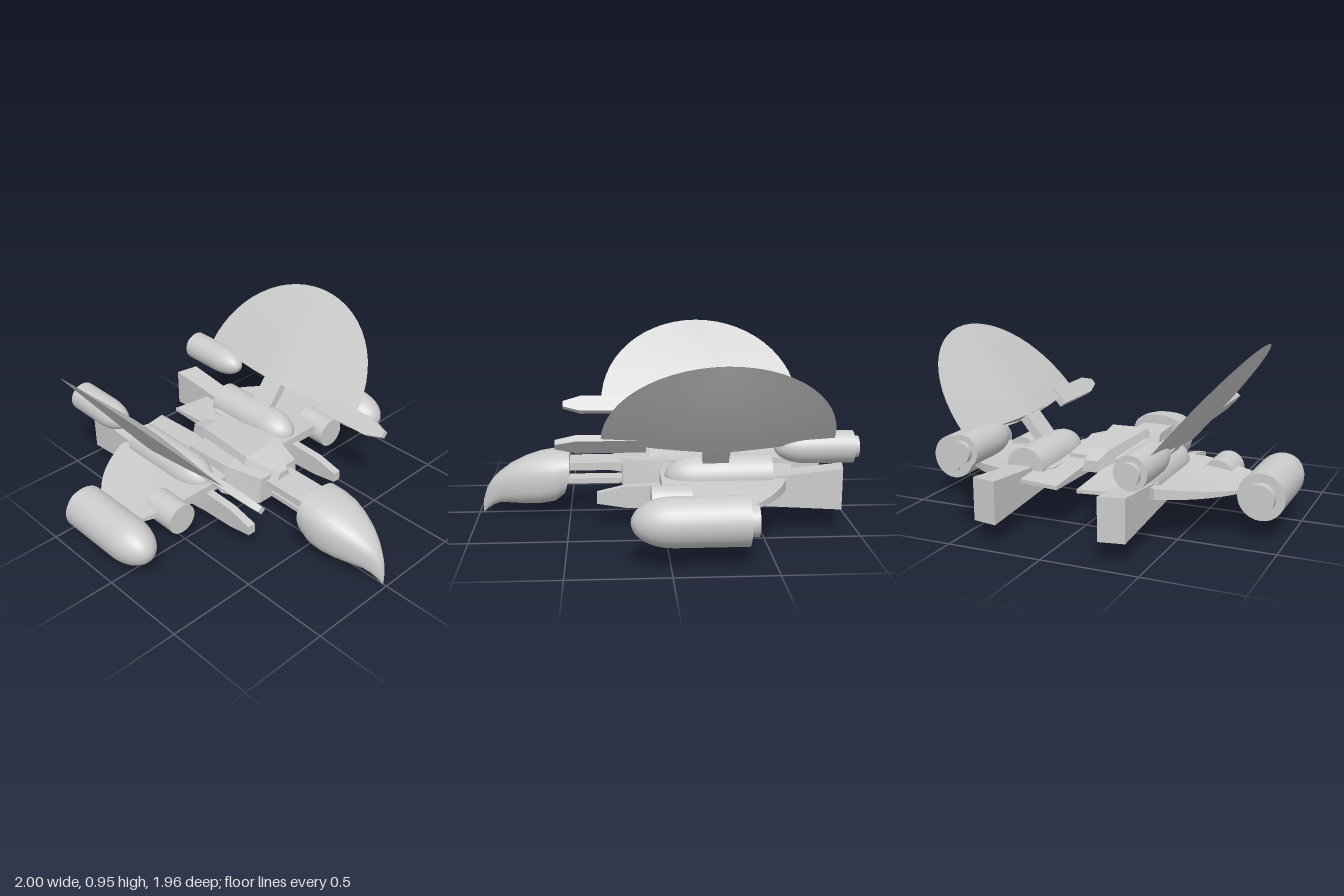
import * as THREE from 'three';
import { toCreasedNormals } from 'three/addons/utils/BufferGeometryUtils.js';

const grey = new THREE.MeshStandardMaterial({ color: 0xcccccc });

function add(parent, name, geometry, crease = 0.6) {
  const mesh = new THREE.Mesh(toCreasedNormals(geometry, crease), grey);
  mesh.name = name;
  parent.add(mesh);
  return mesh;
}

// Capped skin over rings of [x, y, z] points, each anticlockwise seen from the last ring's side.
function loft(rings) {
  const pos = [];
  const tri = (a, b, c) => pos.push(...a, ...b, ...c);
  const n = rings[0].length, first = rings[0], last = rings[rings.length - 1];
  for (let i = 0; i < rings.length - 1; i++) {
    for (let j = 0; j < n; j++) {
      const k = (j + 1) % n, a = rings[i], b = rings[i + 1];
      tri(a[j], a[k], b[k]);
      tri(a[j], b[k], b[j]);
    }
  }
  for (let j = 1; j < n - 1; j++) {
    tri(first[0], first[j + 1], first[j]);
    tri(last[0], last[j], last[j + 1]);
  }
  const g = new THREE.BufferGeometry();
  g.setAttribute('position', new THREE.Float32BufferAttribute(pos, 3));
  return g;
}

// Rectangular ring at depth z
const rect = (z, x0, x1, y0, y1) => [[x0, y0, z], [x1, y0, z], [x1, y1, z], [x0, y1, z]];

// Ring with a narrower top, symmetric about x = 0
const trapezoid = (z, wBottom, wTop, y0, y1) =>
  [[-wBottom, y0, z], [wBottom, y0, z], [wTop, y1, z], [-wTop, y1, z]];

// Round-nosed pod along z, with a stepped exhaust at the back
function pod(parent, name, x, y, z0, z1, r, noseLength, capR = 0, capLength = 0) {
  const pts = [];
  if (capR) pts.push([0, z0 - capLength], [capR, z0 - capLength], [capR, z0]);
  else pts.push([0, z0]);
  pts.push([r, z0]);
  for (let i = 0; i <= 8; i++) {
    const a = (i / 8) * Math.PI / 2;
    pts.push([i === 8 ? 0 : r * Math.cos(a), z1 - noseLength + noseLength * Math.sin(a)]);
  }
  const g = new THREE.LatheGeometry(pts.map(p => new THREE.Vector2(...p)), 28);
  g.rotateX(Math.PI / 2).translate(x, y, 0);
  add(parent, name, g);
}

// Beaked head: rounded sections that curl down to a point
function head() {
  const sections = [ // z, half width, bottom, top
    [0.5, 0.155, 0.12, 0.357], [0.58, 0.164, 0.08, 0.354], [0.66, 0.157, 0.066, 0.342],
    [0.74, 0.135, 0.063, 0.318], [0.82, 0.104, 0.066, 0.28], [0.88, 0.073, 0.066, 0.238],
    [0.92, 0.048, 0.05, 0.202], [0.955, 0.026, 0.026, 0.15], [0.978, 0.004, 0.004, 0.075],
  ];
  return loft(sections.map(([z, w, y0, y1], i) => {
    const ring = [];
    for (let j = 0; j < 28; j++) {
      const a = (j / 28) * Math.PI * 2, c = Math.cos(a), s = Math.sin(a);
      const x = w * Math.sign(c) * Math.abs(c) ** 0.75;
      const y = (y0 + y1) / 2 + (y1 - y0) / 2 * Math.sign(s) * Math.abs(s) ** 0.75;
      ring.push([x, y, i === 0 ? z + Math.max(0, 0.24 - y) * 0.25 : z]);
    }
    return ring;
  }));
}

// Leaning half-ellipse sail: thin rim, ridge down the middle of both faces
function sail() {
  const u = [0.632, 0.775], n = [0.775, -0.632], rings = [];
  for (let i = 0; i <= 14; i++) {
    const v = Math.sin((i / 14) * Math.PI / 2 * 0.995);
    const half = 0.587 * Math.sqrt(1 - v * v);
    const ring = [];
    for (let j = 0; j < 24; j++) {
      const a = (j / 24) * Math.PI * 2;
      const s = Math.asin(Math.sin(a)) * 2 / Math.PI;
      const t = Math.sign(Math.cos(a)) * (1 - Math.abs(s)) * 0.043 * (1 - v ** 2);
      const d = v * 0.56 - 0.05 * (1 - s * s) * (1 - v);
      ring.push([0.487 + u[0] * d + n[0] * t, 0.52 + u[1] * d + n[1] * t, -0.26 - s * half]);
    }
    rings.push(ring);
  }
  return loft(rings);
}

// Rounded wing plate, thinning and drooping towards the tip
function wing() {
  const s = new THREE.Shape();
  s.moveTo(0.18, 0.02);
  s.lineTo(0.46, 0.02);
  s.bezierCurveTo(0.62, 0.01, 0.74, -0.04, 0.82, -0.08);
  s.lineTo(0.82, -0.26);
  s.bezierCurveTo(0.76, -0.42, 0.62, -0.55, 0.42, -0.62);
  s.lineTo(0.18, -0.5);
  const g = new THREE.ExtrudeGeometry(s, { depth: 1, bevelEnabled: false, curveSegments: 14 });
  const p = g.attributes.position;
  for (let i = 0; i < p.count; i++) {
    const x = p.getX(i), z = p.getY(i), top = p.getZ(i) < 0.5;
    const k = Math.max(0, (x - 0.42) / 0.4);
    p.setXYZ(i, x, top ? 0.29 - 0.045 * k ** 1.3 : 0.235, z);
  }
  // The shape's y became z, so the extrusion's near side is the top.
  return g;
}

// Everything on the +x half
function buildSide() {
  const side = new THREE.Group();
  add(side, 'wing', wing(), 0.4);
  add(side, 'sail', sail(), 0.3);

  // Sail strut, leaning with the sail
  const strut = add(side, 'sailStrut', new THREE.BoxGeometry(0.05, 0.22, 0.135));
  strut.position.set(0.39, 0.42, -0.26);
  strut.rotation.z = -0.685;

  // Tapered blade gun at the sail's front corner
  const blade = add(side, 'bladeGun', loft([
    rect(0.1, -0.02, 0.02, -0.05, 0.05), rect(0.45, -0.02, 0.02, -0.05, 0.05),
    rect(0.555, -0.016, 0.016, -0.018, 0.018),
  ]));
  blade.position.set(0.464, 0.503, 0);
  blade.rotation.z = -0.685;

  pod(side, 'topEngine', 0.318, 0.288, -0.555, 0, 0.105, 0.17);
  pod(side, 'wingtipEngine', 0.877, 0.23, -0.365, 0.19, 0.121, 0.2, 0.076, 0.045);
  pod(side, 'sailThruster', 0.435, 0.465, -0.95, -0.55, 0.083, 0.17, 0.055, 0.028);

  // Flat-ended intake drum on the wing
  add(side, 'intakeDrum', new THREE.CylinderGeometry(0.085, 0.085, 0.2, 28)
    .rotateX(Math.PI / 2).translate(0.577, 0.23, -0.02));

  // Flared tail boom
  add(side, 'tailBoom', loft([
    [[0.27, 0.115, -0.945], [0.4, 0.115, -0.92], [0.4, 0.335, -0.92], [0.27, 0.335, -0.945]],
    rect(-0.4, 0.28, 0.39, 0.145, 0.28), rect(-0.15, 0.285, 0.385, 0.165, 0.26),
  ]));

  // Cannon under the wing
  add(side, 'cannon', loft([
    rect(-0.15, 0.29, 0.375, 0.12, 0.245), rect(0, 0.31, 0.355, 0.12, 0.25),
    rect(0.2, 0.31, 0.355, 0.13, 0.245), rect(0.35, 0.31, 0.355, 0.155, 0.21),
  ]));

  // Flat tail plate beside the centre gap
  add(side, 'tailPlate', loft([
    [[0.055, 0.25, -0.715], [0.275, 0.25, -0.68], [0.275, 0.27, -0.68], [0.055, 0.27, -0.715]],
    rect(-0.2, 0.055, 0.275, 0.235, 0.3),
  ]));
  return side;
}

export function createModel() {
  const model = new THREE.Group();
  add(model, 'head', head());

  // Neck beams
  add(model, 'upperNeck', new THREE.BoxGeometry(0.18, 0.042, 0.36).translate(0, 0.28, 0.36));
  add(model, 'lowerNeck', new THREE.BoxGeometry(0.1, 0.028, 0.4).translate(0, 0.188, 0.36));

  // Faceted hull and raised spine
  add(model, 'hull', loft([
    trapezoid(-0.305, 0.185, 0.185, 0.23, 0.315), trapezoid(0, 0.23, 0.2, 0.175, 0.345),
    trapezoid(0.215, 0.145, 0.13, 0.175, 0.33),
  ]), 0.1);
  add(model, 'spine', loft([
    trapezoid(-0.435, 0.05, 0.035, 0.27, 0.33), trapezoid(-0.33, 0.075, 0.055, 0.28, 0.365),
    trapezoid(0.07, 0.135, 0.105, 0.3, 0.39), trapezoid(0.255, 0.05, 0.028, 0.29, 0.34),
  ]), 0.1);

  const left = buildSide();
  left.name = 'leftSide';
  const right = buildSide();
  right.name = 'rightSide';
  right.scale.x = -1;
  model.add(left, right);
  return model;
}
